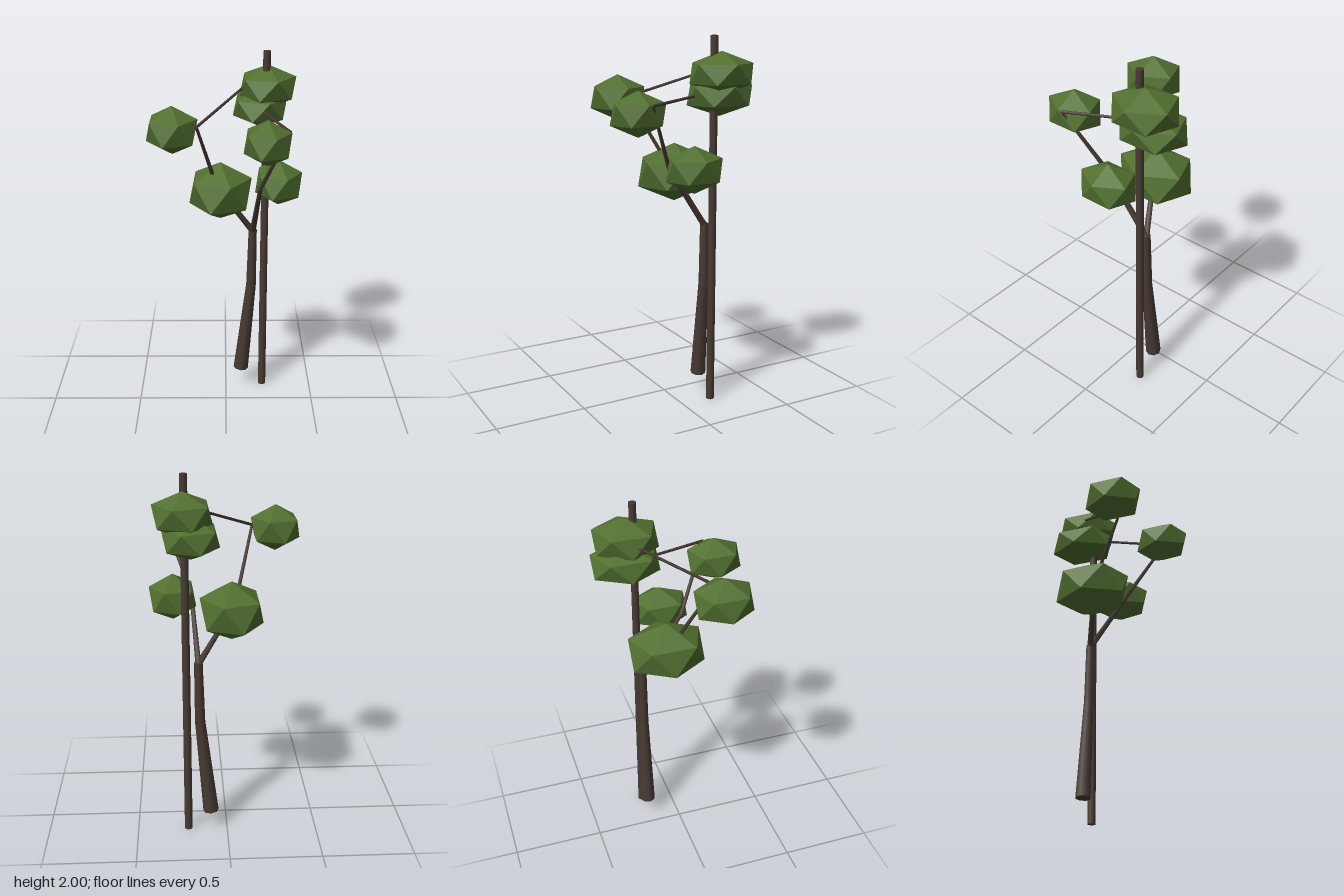
import * as THREE from 'three';
import { mergeVertices } from 'three/addons/utils/BufferGeometryUtils.js';

const bark = new THREE.MeshStandardMaterial({ color: 0x483a33 });
bark.name = 'bark brown';
const leaf = new THREE.MeshStandardMaterial({ color: 0x527030 });
leaf.name = 'leaf green';

// Smooth-shaded icosahedron standing on one of its corners
function clumpGeometry() {
  const g = new THREE.IcosahedronGeometry(1, 0);
  g.deleteAttribute('uv');
  g.deleteAttribute('normal');
  g.rotateZ(-Math.atan(2 / (1 + Math.sqrt(5))));
  return mergeVertices(g, 1e-3);
}

// Chain of tapered cylinders through points [x, y, z, radius]
function limb(name, points, sides) {
  const group = new THREE.Group();
  group.name = name;
  for (let i = 0; i < points.length - 1; i++) {
    const a = new THREE.Vector3(...points[i].slice(0, 3));
    const b = new THREE.Vector3(...points[i + 1].slice(0, 3));
    const dir = b.clone().sub(a);
    const geo = new THREE.CylinderGeometry(points[i + 1][3], points[i][3], dir.length(), sides);
    const mesh = new THREE.Mesh(geo, bark);
    mesh.name = `${name}Segment${i + 1}`;
    mesh.position.copy(a).add(b).multiplyScalar(0.5);
    mesh.quaternion.setFromUnitVectors(new THREE.Vector3(0, 1, 0), dir.normalize());
    group.add(mesh);
  }
  return group;
}

export function createModel() {
  const tree = new THREE.Group();
  tree.name = 'tree';

  // Straight pole beside the leaning trunk
  tree.add(limb('pole', [[0.217, 0, -0.175, 0.022], [0.217, 2, -0.175, 0.02]], 12));
  tree.add(limb('trunk', [
    [0.09, 0.11, -0.172, 0.043], [0.146, 0.66, -0.168, 0.028], [0.152, 1, -0.165, 0.023],
  ], 8));

  // Two bent branches rising from the trunk top
  tree.add(limb('leftBranch', [
    [0.152, 0.99, -0.165, 0.018], [-0.05, 1.29, -0.06, 0.012],
    [-0.15, 1.67, 0.14, 0.008], [0.12, 1.82, -0.215, 0.007],
  ], 6));
  tree.add(limb('rightBranch', [
    [0.152, 0.99, -0.165, 0.018], [0.182, 1.32, 0.07, 0.012],
    [0.32, 1.67, 0.24, 0.008], [0.195, 1.695, -0.09, 0.007],
  ], 6));

  // Leaf clumps: centre, then half extents
  const clump = clumpGeometry();
  [
    ['lowerLeftLeaves', [-0.03, 1.26, -0.08], [0.17, 0.16, 0.195]],
    ['outerLeftLeaves', [-0.275, 1.655, 0.138], [0.132, 0.125, 0.145]],
    ['frontLeaves', [0.207, 1.62, 0.262], [0.12, 0.118, 0.14]],
    ['lowerRightLeaves', [0.282, 1.325, -0.022], [0.125, 0.125, 0.147]],
    ['topLeaves', [0.225, 1.805, -0.215], [0.152, 0.115, 0.165]],
    ['backLeaves', [0.185, 1.69, -0.23], [0.147, 0.11, 0.174]],
  ].forEach(([name, centre, half]) => {
    const mesh = new THREE.Mesh(clump, leaf);
    mesh.name = name;
    mesh.position.set(...centre);
    mesh.scale.set(half[0] / 0.894, half[1], half[2] / 0.851);
    tree.add(mesh);
  });
  return tree;
}
